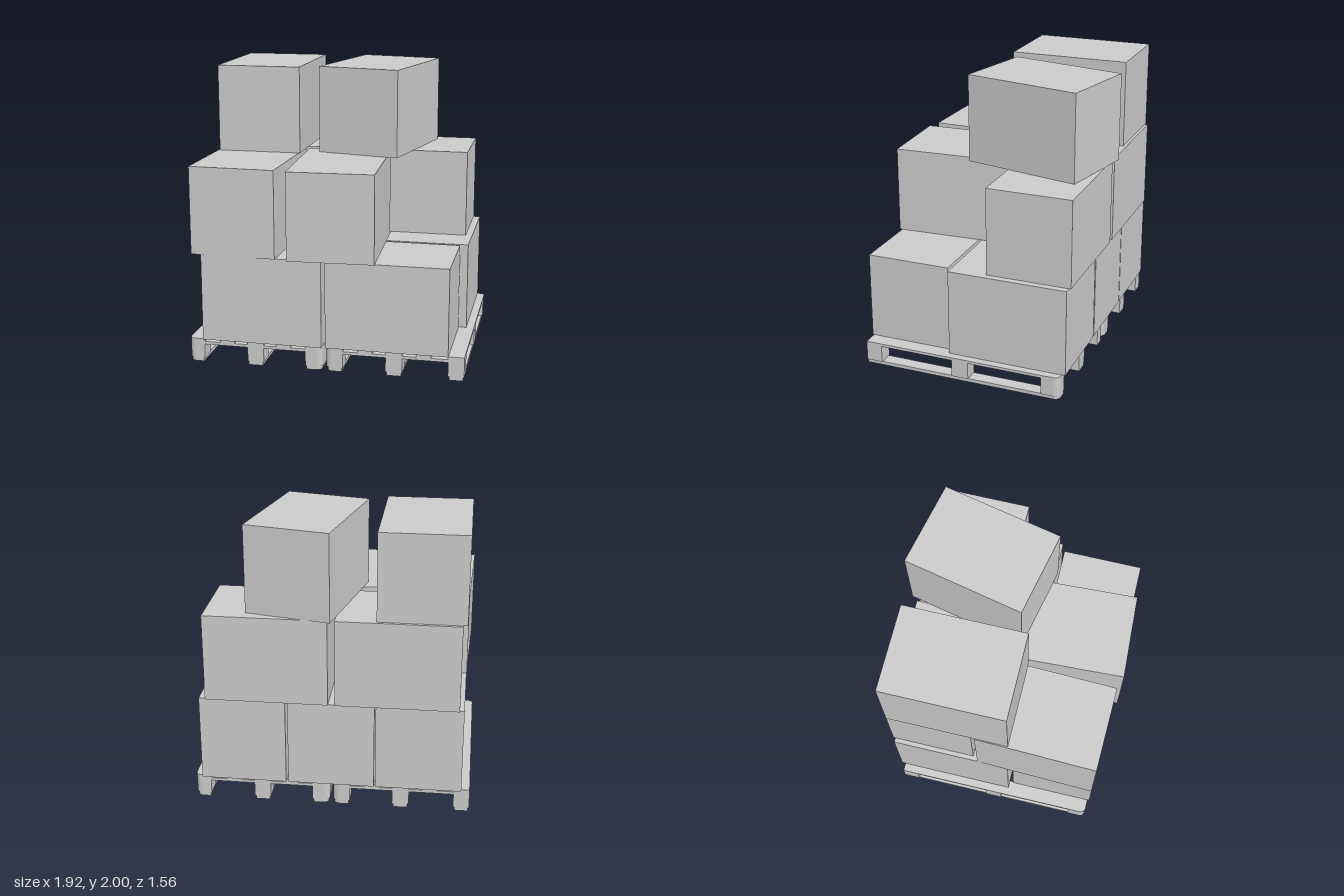
import * as THREE from 'three';

const grey = new THREE.MeshStandardMaterial({ color: 0xcccccc });
grey.name = 'plainGrey';

// Upright slab with optionally rounded back-left, back-right, front-right and front-left corners
function slab(name, x0, x1, y0, y1, z0, z1, [bl, br, fr, fl] = [0, 0, 0, 0]) {
  const s = new THREE.Shape();
  const back = -z0, front = -z1;
  s.moveTo(x0 + fl, front);
  s.lineTo(x1 - fr, front);
  if (fr) s.quadraticCurveTo(x1, front, x1, front + fr);
  s.lineTo(x1, back - br);
  if (br) s.quadraticCurveTo(x1, back, x1 - br, back);
  s.lineTo(x0 + bl, back);
  if (bl) s.quadraticCurveTo(x0, back, x0, back - bl);
  s.lineTo(x0, front + fl);
  if (fl) s.quadraticCurveTo(x0, front, x0 + fl, front);
  const geometry = new THREE.ExtrudeGeometry(s, { depth: y1 - y0, bevelEnabled: false, curveSegments: 5 });
  geometry.rotateX(-Math.PI / 2);
  geometry.translate(0, y0, 0);
  const mesh = new THREE.Mesh(geometry, grey);
  mesh.name = name;
  return mesh;
}

// Pallet: five deck boards, three cross boards, nine blocks and three bottom runners
function pallet(name) {
  const g = new THREE.Group();
  g.name = name;
  const X = 0.475, Z = 0.7125, r = 0.045;
  const deck = [[-X, -0.355], [-0.25, -0.15], [-0.06, 0.055], [0.15, 0.25], [0.365, X]];
  const rows = [[-Z, -0.585], [-0.0575, 0.0625], [0.598, Z]];

  deck.forEach(([x0, x1], i) => {
    const left = i === 0, right = i === 4;
    const round = [left ? r : 0, right ? r : 0, 0, left ? r : 0];
    g.add(slab('deckBoard', x0, x1, 0.145, 0.165, -Z, Z, round));
    if (i % 2) return;
    // Runner and blocks below each outer and middle deck board
    g.add(slab('bottomRunner', x0 + 0.008, x1 - 0.008, 0, 0.025, -Z, Z, round));
    rows.forEach(([z0, z1], j) => {
      const corner = [j === 0 && left ? r : 0, j === 0 && right ? r : 0, 0, j === 2 && left ? r : 0];
      g.add(slab('block', x0, x1, 0.025, 0.125, z0, z1, corner));
    });
  });
  rows.forEach(([z0, z1], j) => {
    const corner = [j === 0 ? r : 0, j === 0 ? r : 0, 0, j === 2 ? r : 0];
    g.add(slab('crossBoard', -X, X, 0.125, 0.145, z0, z1, corner));
  });
  return g;
}

export function createModel() {
  const model = new THREE.Group();
  model.name = 'loadedPallets';

  // Two pallets side by side, one turned half round
  const leftPallet = pallet('leftPallet');
  leftPallet.position.set(0.485, 0, 0.0075);
  const rightPallet = pallet('rightPallet');
  rightPallet.position.set(-0.487, 0, 0.0075);
  rightPallet.rotation.y = Math.PI;
  model.add(leftPallet, rightPallet);

  // Cartons: layer, centre x, centre z, turn about y
  const carton = new THREE.BoxGeometry(0.595, 0.612, 0.842);
  const quarter = Math.PI / 2;
  const cartons = [
    [0, -0.607, -0.31, 0], [0, -0.003, -0.31, 0], [0, 0.608, -0.31, 0],
    [0, -0.438, 0.436, quarter], [0, 0.43, 0.432, quarter],
    [1, -0.452, -0.447, quarter], [1, 0.437, -0.447, quarter],
    [1, -0.62, 0.317, -0.027], [1, 0.033, 0.34, 0.046],
    [2, -0.605, -0.302, 0], [2, 0.197, -0.308, -0.212],
  ];
  const layers = ['lowerCarton', 'middleCarton', 'topCarton'];
  for (const [layer, x, z, turn] of cartons) {
    const mesh = new THREE.Mesh(carton, grey);
    mesh.name = layers[layer];
    mesh.position.set(x, 0.471 + layer * 0.612, z);
    mesh.rotation.y = turn;
    model.add(mesh);
  }
  return model;
}
